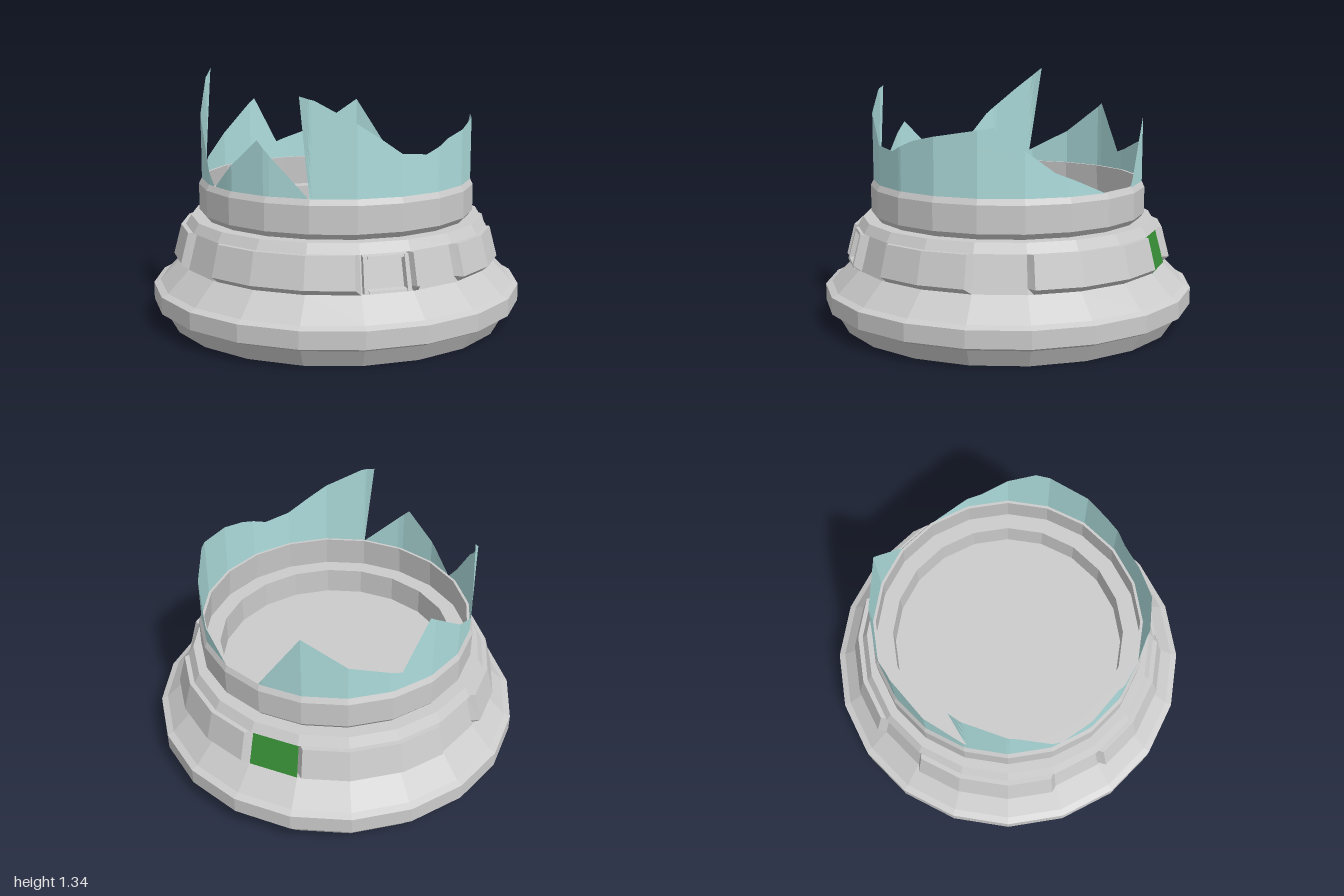
import * as THREE from 'three';

const SIDES = 20, STEP = 360 / SIDES, RAD = Math.PI / 180;
const mat = (color) => new THREE.MeshStandardMaterial({ color, flatShading: true });
const grey = mat(0xcccccc), green = mat(0x389038), glass = mat(0xaedddd);
glass.side = THREE.DoubleSide;

// Point on the 20-sided outline; r is the corner radius
function ringPoint(deg, r, y) {
  const local = (((deg % STEP) + STEP) % STEP) - STEP / 2;
  const d = r * Math.cos((STEP / 2) * RAD) / Math.cos(local * RAD);
  return [d * Math.cos(deg * RAD), y, d * Math.sin(deg * RAD)];
}

// Surface through rows of points: rows follow the angle, columns run upward
function gridMesh(rows, material, name) {
  const pos = [];
  for (let i = 0; i + 1 < rows.length; i++) {
    for (let j = 0; j + 1 < rows[i].length; j++) {
      const a = rows[i][j], b = rows[i][j + 1], c = rows[i + 1][j + 1], d = rows[i + 1][j];
      pos.push(...a, ...b, ...c, ...a, ...c, ...d);
    }
  }
  const g = new THREE.BufferGeometry();
  g.setAttribute('position', new THREE.Float32BufferAttribute(pos, 3));
  g.computeVertexNormals();
  const mesh = new THREE.Mesh(g, material);
  mesh.name = name;
  return mesh;
}

// Raised block on the sloping band, with bevelled ends and bottom edge
const bandRadius = (y) => 0.85 - 0.05 * (y - 0.33) / 0.19;
function bandBlock(name, a0, a1, o = {}) {
  const { y0 = 0.33, y1 = 0.52, lift = 0.045, bevel = 2, low = 0.03, high = 0, material = grey } = o;
  const ys = [y0, y0 + low, y1 - high, y1];
  const row = (deg, up) => ys.map((y, j) =>
    ringPoint(deg, bandRadius(y) + (up && (j === 1 || j === 2) ? lift : 0), y));
  const rows = [row(a0, false), row(a0 + bevel, true)];
  for (let a = Math.ceil((a0 + bevel + 0.01) / STEP) * STEP; a < a1 - bevel - 0.01; a += STEP) rows.push(row(a, true));
  rows.push(row(a1 - bevel, true), row(a1, false));
  return gridMesh(rows, material, name);
}

// Broken glass strip: each column is [top angle, top height, bottom angle]
function shard(columns) {
  const rows = [], N = 8;
  const point = (t0, t1, k) => {
    const [aT, yT, aB = aT] = t0, [bT, zT, bB = bT] = t1;
    const top = aT + (bT - aT) * k, y = yT + (zT - yT) * k, bot = aB + (bB - aB) * k;
    return [0, 0.25, 0.5, 0.75, 1].map((v) =>
      ringPoint(bot + (top - bot) * v, 0.73, 0.76 + (y - 0.76) * v));
  };
  for (let i = 0; i + 1 < columns.length; i++) {
    for (let k = 0; k < N; k++) rows.push(point(columns[i], columns[i + 1], k / N));
  }
  rows.push(point(columns.at(-2), columns.at(-1), 1));
  return gridMesh(rows, glass, 'glassShard');
}

export function createModel() {
  const model = new THREE.Group();

  // Turned base: hollow underside, outer steps, rim, inner ledge and floor
  const profile = [
    [0, 0.44], [0.64, 0.44], [0.75, 0], [0.91, 0], [0.96, 0.09], [1, 0.11], [1, 0.2], [0.965, 0.215],
    [0.85, 0.33], [0.8, 0.52], [0.82, 0.52], [0.79, 0.57], [0.72, 0.57], [0.745, 0.6], [0.745, 0.74],
    [0.73, 0.77], [0.715, 0.77], [0.73, 0.6], [0.64, 0.6], [0.64, 0.45], [0, 0.45],
  ].map(([x, y]) => new THREE.Vector2(x, y));
  const base = new THREE.Mesh(new THREE.LatheGeometry(profile, SIDES).toNonIndexed(), grey);
  base.geometry.computeVertexNormals();
  base.name = 'base';
  model.add(base);

  // Raised plates, leaving recesses between them
  const band = new THREE.Group();
  band.name = 'platedBand';
  for (const [a, b] of [[18, 54], [90, 144], [162, 216], [234, 288], [306, 360]]) band.add(bandBlock('plate', a, b));
  band.add(bandBlock('divider', 70, 73, { bevel: 1 }));
  model.add(band);

  // Framed hatch in the front recess
  const frame = new THREE.Group();
  frame.name = 'hatchFrame';
  const bar = { lift: 0.03, bevel: 0.3, low: 0.004, high: 0.004 };
  frame.add(
    bandBlock('frameSide', 73, 75, { ...bar, y0: 0.335, y1: 0.515 }),
    bandBlock('frameSide', 87.5, 89.5, { ...bar, y0: 0.335, y1: 0.515 }),
    bandBlock('frameBottom', 74.6, 87.9, { ...bar, y0: 0.335, y1: 0.355 }),
    bandBlock('frameTop', 74.6, 87.9, { ...bar, y0: 0.495, y1: 0.515 }),
  );
  model.add(frame);

  // Green panel in the back recess
  model.add(bandBlock('greenPanel', 288, 306, { lift: 0.005, bevel: 0.2, low: 0.002, high: 0.002, material: green }));

  // Jagged remains of the glass dome
  const dome = new THREE.Group();
  dome.name = 'brokenGlass';
  dome.add(
    shard([[-36, 0.765], [-22, 0.84], [-12, 0.89], [0, 1], [12, 1.11], [36, 1.06], [47, 1.03], [60, 0.965],
      [72, 0.98], [80, 1.05], [90, 1.13], [106, 1.24, 104], [112, 1.26, 108]]),
    shard([[108, 0.765], [130, 1.04], [157, 0.765]]),
    shard([[157, 0.765], [176, 1.06], [190, 1.21, 188], [203, 1.34, 196]]),
    shard([[196, 0.83], [216, 0.96], [236, 1.14], [248, 0.87], [270, 0.96], [288, 1.12], [307, 0.765]]),
  );
  model.add(dome);
  return model;
}
